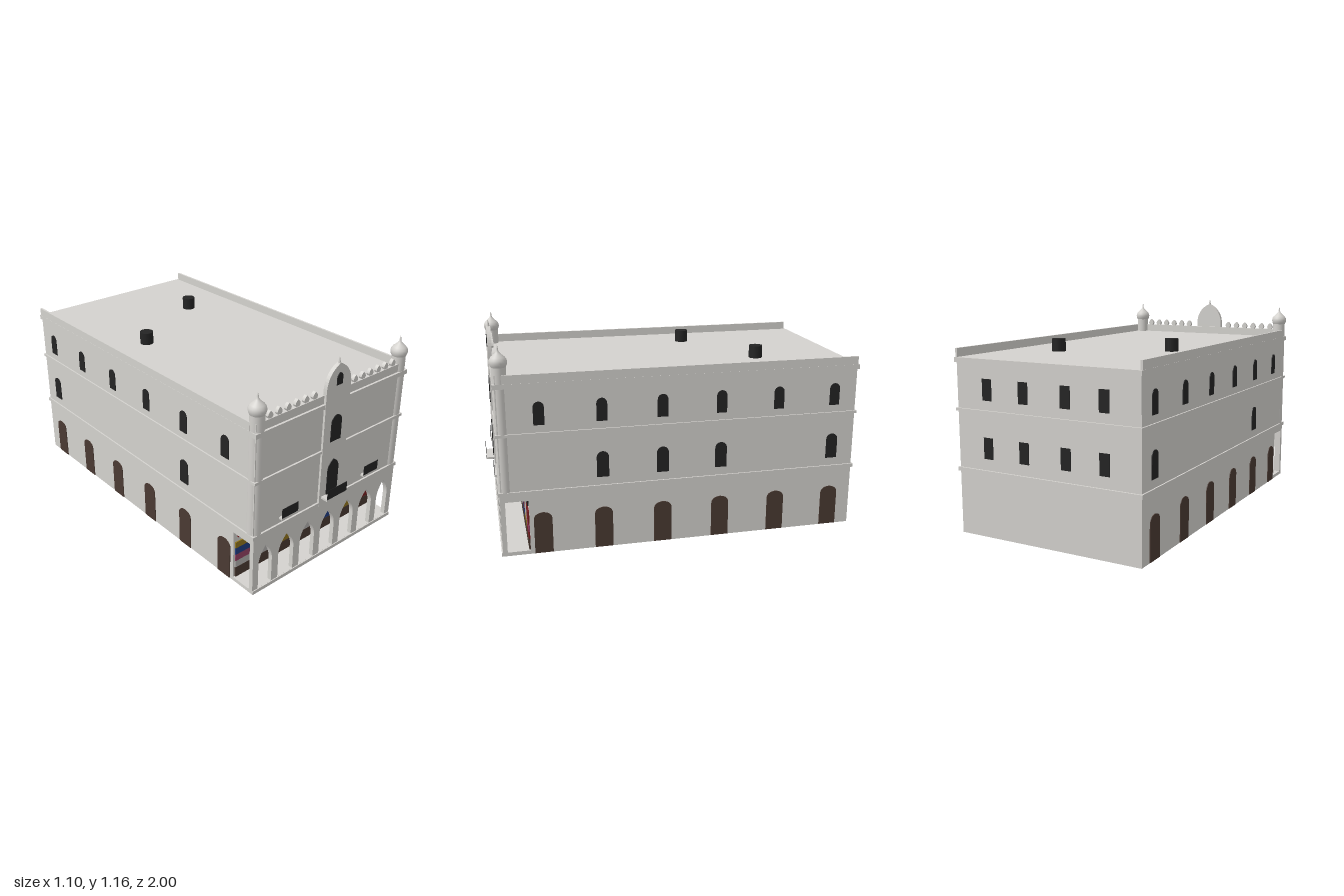
import * as THREE from 'three';

const mat = (name, color) => Object.assign(new THREE.MeshStandardMaterial({ color }), { name });

export function createModel() {
  const model = new THREE.Group();
  model.name = 'arcadedBuilding';
  const stone = mat('paleStone', 0xd4d2ce);
  const dark = mat('darkGlass', 0x242424);
  const brown = mat('brownWood', 0x4a3a32);
  const red = mat('deepRed', 0x781e20);
  const blue = mat('blue', 0x203d82);
  const gold = mat('gold', 0x92761e);
  const pink = mat('plumPink', 0x934064);
  const gray = mat('lightGray', 0xb3b1af);

  function add(name, geo, material, x = 0, y = 0, z = 0, ry = 0) {
    const m = new THREE.Mesh(geo, material);
    m.name = name;
    m.position.set(x, y, z);
    m.rotation.y = ry;
    model.add(m);
    return m;
  }
  // Box given by its limits on each axis
  const box = (name, material, x0, x1, y0, y1, z0, z1) =>
    add(name, new THREE.BoxGeometry(x1 - x0, y1 - y0, z1 - z0), material,
      (x0 + x1) / 2, (y0 + y1) / 2, (z0 + z1) / 2);
  // Arched outline: k near 0.9 is round, lower is more pointed
  function arch(path, cx, half, y0, spring, apex, k) {
    const c = spring + k * (apex - spring);
    path.moveTo(cx - half, y0);
    path.lineTo(cx + half, y0);
    path.lineTo(cx + half, spring);
    path.quadraticCurveTo(cx + half, c, cx, apex);
    path.quadraticCurveTo(cx - half, c, cx - half, spring);
    path.lineTo(cx - half, y0);
    return path;
  }
  const extrude = (shape, depth) =>
    new THREE.ExtrudeGeometry(shape, { depth, bevelEnabled: false, curveSegments: 10 });
  const archGeo = (half, y0, spring, apex, k, depth = 0.004) =>
    extrude(arch(new THREE.Shape(), 0, half, y0, spring, apex, k), depth);

  // Main volumes, with the open walkway under the front
  box('mainBlock', stone, -0.535, 0.535, 0, 0.925, -0.99, 0.805);
  box('frontUpperBlock', stone, -0.535, 0.535, 0.3, 0.925, 0.805, 0.945);
  box('walkwayFloor', stone, -0.535, 0.535, 0, 0.02, 0.805, 0.955);

  // Bands running round the building
  for (const [y0, y1] of [[0.335, 0.355], [0.65, 0.665], [0.9, 0.925]])
    box('stringCourse', stone, -0.543, 0.543, y0, y1, -1, 0.955);

  // Arcade wall
  const wall = new THREE.Shape();
  wall.moveTo(-0.535, 0.02);
  wall.lineTo(0.535, 0.02);
  wall.lineTo(0.535, 0.335);
  wall.lineTo(-0.535, 0.335);
  wall.closePath();
  for (let i = -3; i <= 3; i++) {
    const outer = Math.abs(i) === 3;
    wall.holes.push(arch(new THREE.Path(), outer ? Math.sign(i) * 0.451 : i * 0.153,
      outer ? 0.046 : 0.054, 0.0205, 0.165, 0.27, 0.5));
  }
  add('arcadeWall', extrude(wall, 0.025), stone, 0, 0, 0.925);

  // Shop displays behind the arches, listed from bottom to top
  const displays = [
    [gray, pink, blue, gold], [gray, red, red, gold], [gold, red, red, blue],
    [gray, blue, red, red], [blue, red, red, red], [gold, gray, gray, gray],
    [red, pink, red, red]];
  const levels = [0.08, 0.12, 0.16, 0.2, 0.235];
  displays.forEach((colours, i) => {
    const x = (i - 3) * 0.153;
    box('shopCounter', brown, x - 0.065, x + 0.065, 0.02, 0.08, 0.805, 0.813);
    colours.forEach((c, j) =>
      box('shopDisplay', c, x - 0.065, x + 0.065, levels[j], levels[j + 1], 0.805, 0.812));
    box('shopSign', i === 0 ? red : dark, x - 0.05, x + 0.05, 0.262, 0.29, 0.805, 0.812);
  });

  // Central pier, gable and finial
  box('centralPier', stone, -0.087, 0.087, 0.335, 0.97, 0.935, 0.957);
  add('gable', archGeo(0.087, 0.97, 0.99, 1.123, 0.7, 0.022), stone, 0, 0, 0.935);
  add('gableFinial', new THREE.ConeGeometry(0.011, 0.05, 12), stone, 0, 1.131, 0.946);
  add('balconyDoor', archGeo(0.04, 0.39, 0.525, 0.59, 0.75), dark, 0, 0, 0.957);
  add('centralWindow', archGeo(0.037, 0.7, 0.8, 0.845, 0.88), dark, 0, 0, 0.957);
  add('gableWindow', archGeo(0.02, 1.01, 1.045, 1.075, 0.75), dark, 0, 0, 0.957);

  // Balconies
  for (const [x, half, z] of [[0, 0.073, 1], [-0.305, 0.056, 0.966], [0.305, 0.056, 0.966]]) {
    box('balconySlab', stone, x - half, x + half, 0.379, 0.39, 0.94, z);
    box('balconyRail', dark, x - half, x + half, 0.39, 0.445, z - 0.002, z);
  }

  // Parapets and crenellations
  for (const s of [-1, 1])
    add('sideParapet', new THREE.BoxGeometry(0.012, 0.045, 1.9), stone, s * 0.536, 0.9475, -0.04);
  box('frontParapet', stone, -0.535, 0.535, 0.925, 0.97, 0.917, 0.943);
  const merlon = new THREE.Shape();
  merlon.moveTo(-0.011, 0.97);
  merlon.lineTo(0.011, 0.97);
  merlon.lineTo(0.017, 0.982);
  merlon.quadraticCurveTo(0.013, 0.998, 0, 1.007);
  merlon.quadraticCurveTo(-0.013, 0.998, -0.017, 0.982);
  const merlonGeo = extrude(merlon, 0.018);
  for (const s of [-1, 1])
    for (let i = 0; i < 6; i++)
      add('merlon', merlonGeo, stone, s * (0.145 + i * 0.059), 0, 0.921);

  // Corner turrets with onion domes
  const dome = [[0.036, 1.005], [0.042, 1.016], [0.045, 1.03], [0.043, 1.043], [0.035, 1.056],
    [0.022, 1.067], [0.011, 1.078], [0.005, 1.088], [0.005, 1.096], [0, 1.118]]
    .map(([r, y]) => new THREE.Vector2(r, y));
  for (const s of [-1, 1]) {
    add('turret', new THREE.CylinderGeometry(0.037, 0.037, 0.655, 24), stone, s * 0.505, 0.6825, 0.918);
    add('onionDome', new THREE.LatheGeometry(dome, 24), stone, s * 0.505, 0, 0.918);
  }

  // Side windows and doors
  const bays = [0.735, 0.415, 0.095, -0.225, -0.545, -0.865];
  const upperGeo = archGeo(0.028, 0.705, 0.795, 0.827, 0.88);
  const middleGeo = archGeo(0.032, 0.4, 0.505, 0.54, 0.88);
  const doorGeo = archGeo(0.048, 0.002, 0.19, 0.23, 0.9);
  for (const s of [-1, 1]) {
    const middleBays = s > 0 ? [1, 2, 3, 5] : [1, 5];
    bays.forEach((z, i) => {
      const ry = s * Math.PI / 2;
      add('upperSideWindow', upperGeo, dark, s * 0.535, 0, z, ry);
      add('sideDoor', doorGeo, brown, s * 0.535, 0, z, ry);
      if (middleBays.includes(i)) add('middleSideWindow', middleGeo, dark, s * 0.535, 0, z, ry);
    });
  }

  // Back windows
  for (const x of [-0.34, -0.123, 0.123, 0.345])
    for (const y of [0.47, 0.77])
      box('backWindow', dark, x - 0.028, x + 0.028, y - 0.055, y + 0.055, -0.994, -0.99);

  // Roof vents
  for (const [x, z] of [[-0.295, -0.22], [0.24, -0.51]])
    add('roofVent', new THREE.CylinderGeometry(0.037, 0.037, 0.07, 20), dark, x, 0.958, z);

  return model;
}
